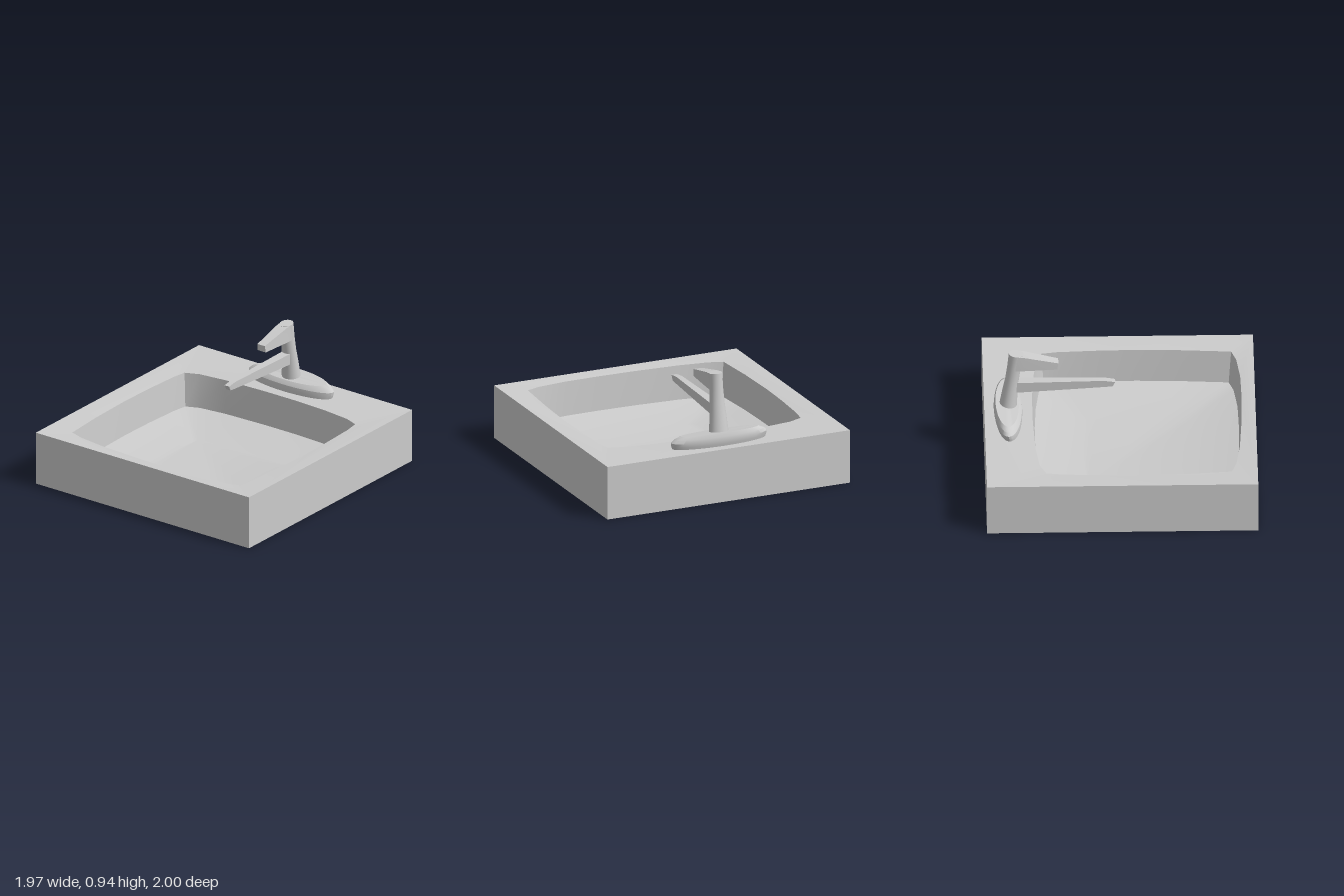
import * as THREE from 'three';
import { toCreasedNormals } from 'three/addons/utils/BufferGeometryUtils.js';

const material = new THREE.MeshStandardMaterial({ color: 0xcccccc });

// Skin a list of rings, each counter-clockwise seen from the sweep's far end
function loft(rings, capStart = true, capEnd = true, crease = 0.6) {
  const n = rings[0].length;
  const pos = rings.flat(2);
  const index = [];
  for (let k = 0; k < rings.length - 1; k++) {
    for (let i = 0; i < n; i++) {
      const a = k * n + i, b = k * n + (i + 1) % n;
      index.push(a, b, b + n, a, b + n, a + n);
    }
  }
  const last = (rings.length - 1) * n;
  for (let i = 1; i < n - 1; i++) {
    if (capStart) index.push(0, i + 1, i);
    if (capEnd) index.push(last, last + i, last + i + 1);
  }
  const geometry = new THREE.BufferGeometry();
  geometry.setAttribute('position', new THREE.Float32BufferAttribute(pos, 3));
  geometry.setIndex(index);
  return toCreasedNormals(geometry, crease);
}

// Horizontal ellipse; slope tilts it along z
function ellipse([y, rx, rz, zc, slope = 0], sides = 32) {
  return Array.from({ length: sides }, (_, i) => {
    const t = (i / sides) * Math.PI * 2;
    const dz = -Math.sin(t) * rz;
    return [Math.cos(t) * rx, y + slope * dz, zc + dz];
  });
}

// Upright four-sided section for arms reaching forward, with a lean in z
const bar = ([z, yb, yt, wb, wt, lean = 0]) =>
  [[-wb, yb, z], [wb, yb, z], [wt, yt, z + lean], [-wt, yt, z + lean]];

export function createModel() {
  const group = new THREE.Group();
  const add = (name, geometry) => {
    const mesh = new THREE.Mesh(geometry, material);
    mesh.name = name;
    group.add(mesh);
  };

  const W = 0.983, D = 1, H = 0.41, RIM = 0.395;

  // Bowl opening as x, z pairs: left side, front, right side, back
  const outline = [
    [-0.785, -0.56], [-0.803, -0.45], [-0.82, -0.15], [-0.825, 0.13], [-0.815, 0.48], [-0.79, 0.81],
    [-0.68, 0.845], [-0.46, 0.875], [-0.1, 0.895], [0.2, 0.9], [0.46, 0.895], [0.68, 0.87],
    [0.785, 0.835], [0.81, 0.48], [0.822, 0.13], [0.817, -0.15], [0.803, -0.45], [0.785, -0.565],
    [0.68, -0.605], [0.46, -0.632], [0.2, -0.645], [-0.1, -0.645], [-0.46, -0.632], [-0.68, -0.605],
  ];

  // Outer block: four sides and underside
  const square = (y) => [[-W, y, D], [W, y, D], [W, y, -D], [-W, y, -D]];
  add('basinBlock', loft([square(0), square(H)], true, false));

  // Top surface, falling slightly from the outer edge to the bowl opening
  const shape = new THREE.Shape([[-W, -D], [W, -D], [W, D], [-W, D]].map(([x, y]) => new THREE.Vector2(x, y)));
  shape.holes.push(new THREE.Path(outline.map(([x, z]) => new THREE.Vector2(x, -z))));
  const top = new THREE.ShapeGeometry(shape).rotateX(-Math.PI / 2);
  const p = top.attributes.position;
  for (let i = 0; i < p.count; i++) p.setY(i, Math.abs(p.getZ(i)) > 0.95 ? H : RIM);
  top.computeVertexNormals();
  add('basinTop', top);

  // Bowl: steep walls, then a floor sloping to a lower flat middle
  const bowlRing = ([y, s]) => outline.map(([x, z]) => [x * s, y, 0.13 + (z - 0.13) * s]);
  add('bowl', loft([[RIM, 1], [0.135, 0.974], [0.07, 0.52]].map(bowlRing), false, true));

  // Oval plate under the tap, its top tilted forward
  add('tapPlate', loft([
    [0.395, 0.372, 0.098, -0.82],
    [0.425, 0.383, 0.103, -0.823],
    [0.452, 0.386, 0.104, -0.827],
    [0.474, 0.362, 0.098, -0.83, -0.08],
    [0.495, 0.315, 0.086, -0.832, -0.16],
  ].map((s) => ellipse(s, 40)), true, true, 0.45));

  // Column, tapering and leaning forward
  add('tapColumn', loft([
    [0.48, 0.075, 0.066, -0.826],
    [0.62, 0.063, 0.056, -0.81],
    [0.71, 0.056, 0.051, -0.796],
    [0.82, 0.051, 0.052, -0.78],
    [0.93, 0.05, 0.055, -0.765, -0.1],
  ].map((s) => ellipse(s, 24))));

  // Spout with a bevelled tip
  add('spout', loft([
    [-0.79, 0.605, 0.693, 0.035, 0.038],
    [-0.45, 0.622, 0.694, 0.028, 0.03],
    [-0.12, 0.639, 0.695, 0.021, 0.023],
    [-0.055, 0.643, 0.682, 0.019, 0.021, 0.02],
  ].map(bar), true, true, 0.3));

  // Lever on top of the column
  add('lever', loft([
    [-0.77, 0.805, 0.928, 0.05, 0.049],
    [-0.71, 0.806, 0.922, 0.049, 0.046],
    [-0.463, 0.81, 0.863, 0.037, 0.034, 0.008],
  ].map(bar), true, true, 0.2));

  return group;
}
